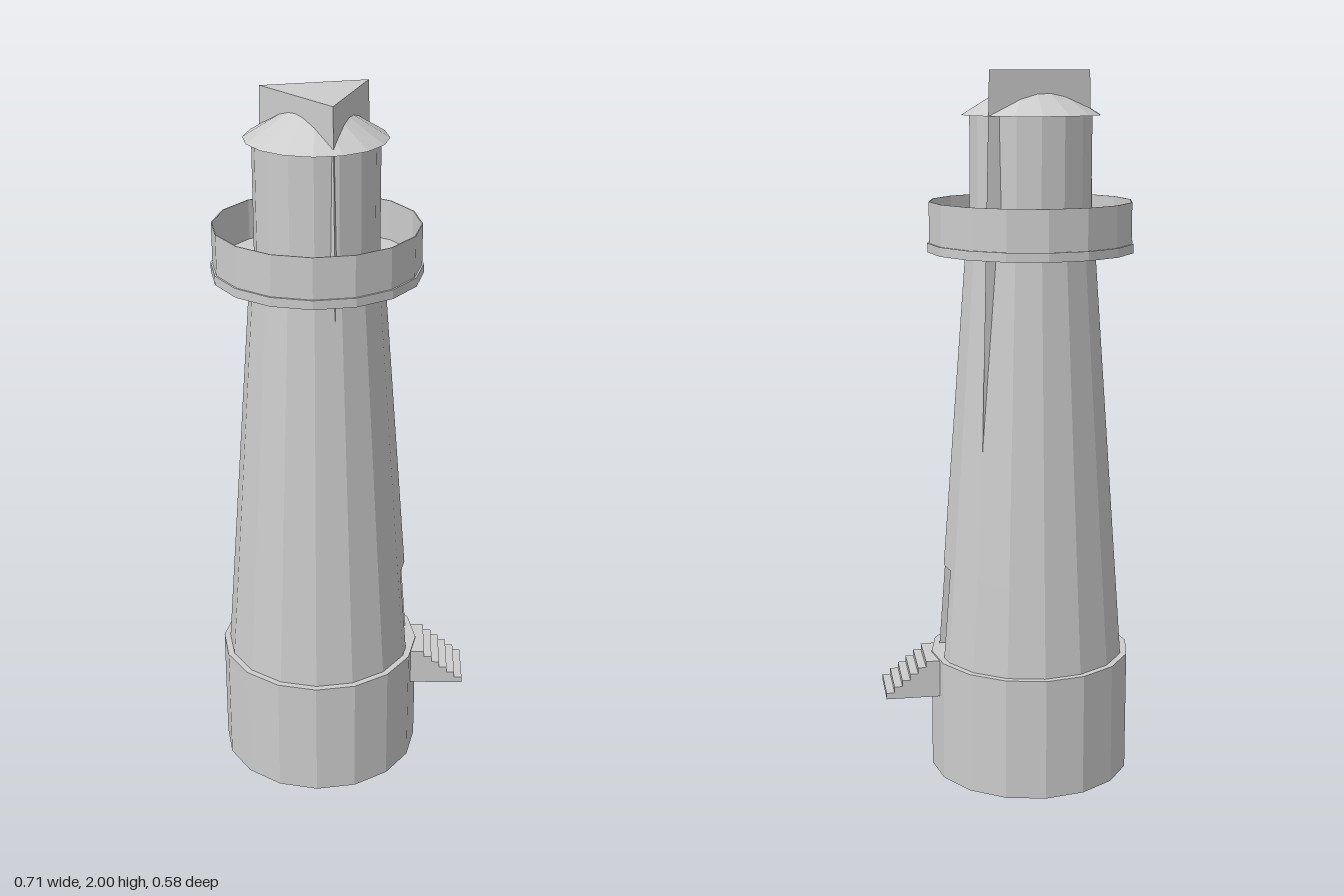
import * as THREE from 'three';

const SIDES = 16;
const stone = new THREE.MeshStandardMaterial({ color: 0xcccccc });
stone.name = 'pale stone';

// Give every face its own normal for a faceted look
function mesh(name, geometry, y = 0) {
  const flat = geometry.index ? geometry.toNonIndexed() : geometry;
  flat.computeVertexNormals();
  const m = new THREE.Mesh(flat, stone);
  m.name = name;
  m.position.y = y;
  return m;
}

// Faceted drum standing between two heights
function drum(name, y0, y1, r0, r1, ...rest) {
  return mesh(name, new THREE.CylinderGeometry(r1, r0, y1 - y0, SIDES, 1, ...rest), (y0 + y1) / 2);
}

// Wall between a lower and an upper outline of [x, z] points
function loft(lower, upper, y0, y1, closed) {
  const pos = [];
  const at = (p, y) => [p[0], y, p[1]];
  const n = lower.length;
  for (let i = 0; i < (closed ? n : n - 1); i++) {
    const j = (i + 1) % n;
    const a = at(lower[i], y0), b = at(lower[j], y0), c = at(upper[j], y1), d = at(upper[i], y1);
    pos.push(...a, ...b, ...c, ...a, ...c, ...d);
  }
  if (closed) {
    for (let i = 1; i < n - 1; i++) {
      pos.push(...at(upper[0], y1), ...at(upper[i], y1), ...at(upper[i + 1], y1));
      pos.push(...at(lower[0], y0), ...at(lower[i + 1], y0), ...at(lower[i], y0));
    }
  }
  const g = new THREE.BufferGeometry();
  g.setAttribute('position', new THREE.Float32BufferAttribute(pos, 3));
  return g;
}

export function createModel() {
  const model = new THREE.Group();
  model.name = 'lighthouse';
  const tower = new THREE.Group();
  tower.name = 'tower';
  tower.position.x = -0.07;
  model.add(tower);

  const baseTop = 0.35, doorTop = 0.61, deckY = 1.51;
  const rBase = 0.27, rTop = 0.183;
  const rDoor = THREE.MathUtils.lerp(rBase, rTop, (doorTop - baseTop) / (deckY - baseTop));
  const step = (2 * Math.PI) / SIDES;

  // Base and tapering shaft; the lower shaft leaves two facets open for the door
  tower.add(drum('base', 0, baseTop, 0.288, 0.288));
  tower.add(drum('upperShaft', doorTop, deckY, rDoor, rTop));
  const lower = new THREE.CylinderGeometry(rDoor, rBase, doorTop - baseTop, SIDES - 2, 1, true,
    Math.PI / 2 + step, 2 * Math.PI - 2 * step);
  tower.add(mesh('lowerShaft', lower, (baseTop + doorTop) / 2));

  // Recessed doorway: jambs, reveals and back wall as one folded strip
  const doorOutline = (r) => {
    const half = [
      [r * Math.cos(step), r * Math.sin(step)],
      [r - 0.06 * Math.tan(step / 2), 0.06],
      [0.21, 0.06],
    ];
    return [...half, ...half.map(([x, z]) => [x, -z]).reverse()];
  };
  tower.add(mesh('doorway', loft(doorOutline(rBase), doorOutline(rDoor), baseTop, doorTop, false)));

  // Gallery deck with a thin parapet
  tower.add(drum('galleryDeck', deckY, 1.535, 0.288, 0.288));
  const parapet = [[0.283, 1.535], [0.283, 1.648], [0.28, 1.648], [0.28, 1.535]]
    .map(([r, y]) => new THREE.Vector2(r, y));
  tower.add(mesh('galleryParapet', new THREE.LatheGeometry(parapet, SIDES)));

  // Lantern room and conical roof
  tower.add(drum('lanternRoom', 1.535, 1.88, 0.17, 0.17));
  tower.add(mesh('roof', new THREE.ConeGeometry(0.193, 0.118, SIDES), 1.939));

  // Three-sided core running up through the shaft and out of the roof
  const coreTop = [[-0.15, -0.061], [0.049, 0.1625], [0.135, -0.134]];
  const coreBottom = coreTop.map(([x, z]) => [x * 1.28, z * 1.28]);
  tower.add(mesh('core', loft(coreBottom, coreTop, baseTop, 2, true)));

  // Solid flight of steps below the doorway
  const count = 6, bottom = 0.238, going = 0.0229, rise = 0.108 / count;
  const profile = new THREE.Shape();
  profile.moveTo(0.18, bottom);
  profile.lineTo(0.357, bottom);
  for (let i = 0; i < count; i++) {
    const x = 0.357 - i * going, y = bottom + (i + 1) * rise;
    profile.lineTo(x, y);
    profile.lineTo(i === count - 1 ? 0.18 : x - going, y);
  }
  const stairs = new THREE.ExtrudeGeometry(profile, { depth: 0.15, bevelEnabled: false });
  stairs.translate(0, 0, -0.075);
  model.add(mesh('stairs', stairs));

  return model;
}
